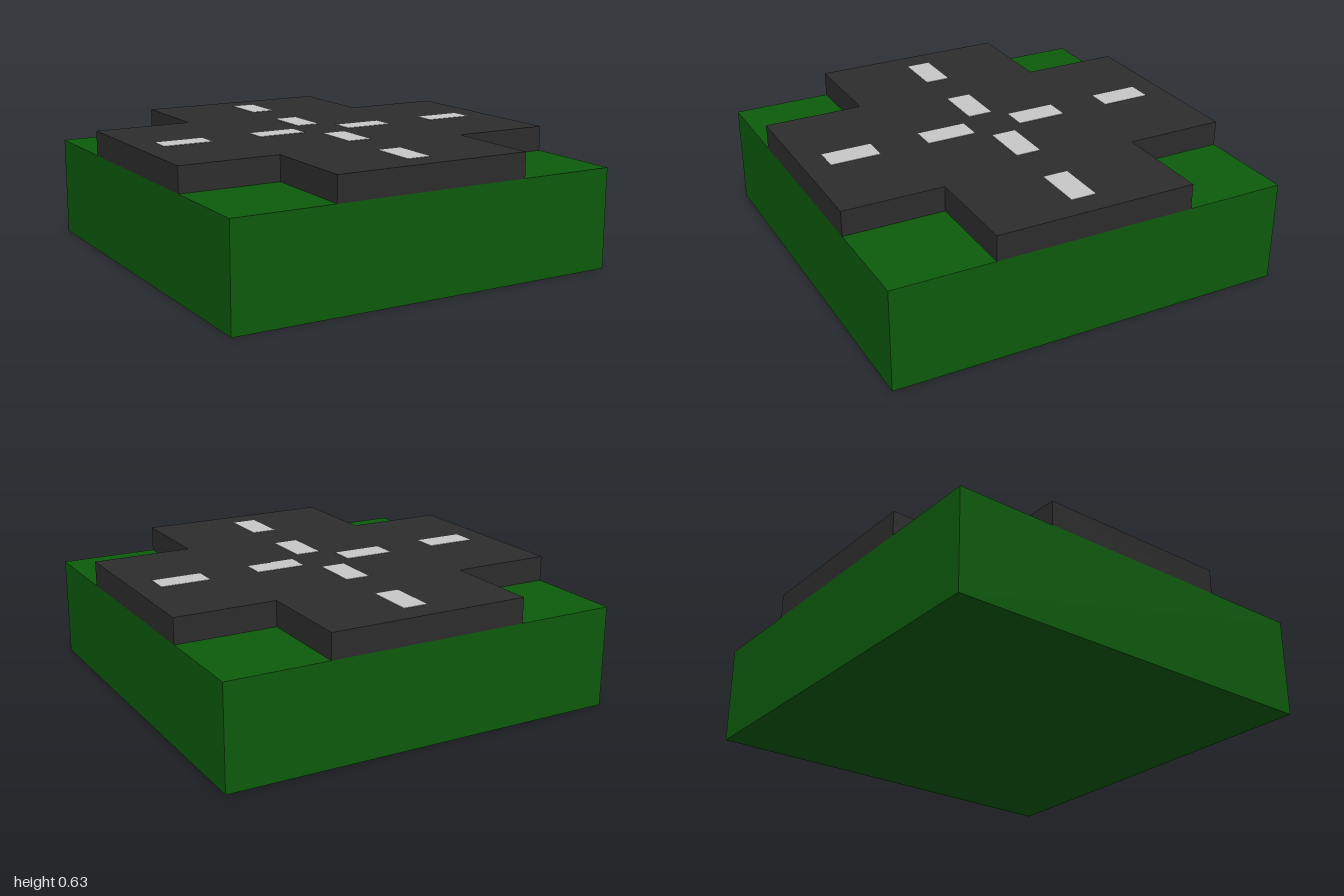
import * as THREE from 'three';

const material = (name, color) => {
  const m = new THREE.MeshStandardMaterial({ color });
  m.name = name;
  return m;
};

export function createModel() {
  const grass = material('grass green', 0x0d5c0d);
  const asphalt = material('asphalt grey', 0x2d2d2d);
  const paint = material('line paint', 0xc8c8c8);

  const model = new THREE.Group();
  model.name = 'crossroads';
  const add = (name, geometry, mat, x, y, z) => {
    const mesh = new THREE.Mesh(geometry, mat);
    mesh.name = name;
    mesh.position.set(x, y, z);
    model.add(mesh);
    return mesh;
  };

  // Ground block
  add('ground', new THREE.BoxGeometry(2, 0.5, 2), grass, 0, 0.25, 0);

  // Raised plus-shaped road, extruded upward
  const arm = 0.5;
  const plus = new THREE.Shape([
    [-arm, -1], [arm, -1], [arm, -arm], [1, -arm], [1, arm], [arm, arm],
    [arm, 1], [-arm, 1], [-arm, arm], [-1, arm], [-1, -arm], [-arm, -arm],
  ].map(([x, y]) => new THREE.Vector2(x, y)));
  const roadGeometry = new THREE.ExtrudeGeometry(plus, { depth: 0.125, bevelEnabled: false });
  roadGeometry.rotateX(-Math.PI / 2);
  add('road', roadGeometry, asphalt, 0, 0.5, 0);

  // Dashed centre lines along both roads
  const dash = new THREE.BoxGeometry(0.25, 0.002, 0.125);
  for (const d of [-0.75, -0.25, 0.25, 0.75]) {
    add('crossLaneDash', dash, paint, d, 0.626, 0);
    add('mainLaneDash', dash, paint, 0, 0.626, d).rotation.y = Math.PI / 2;
  }

  return model;
}
